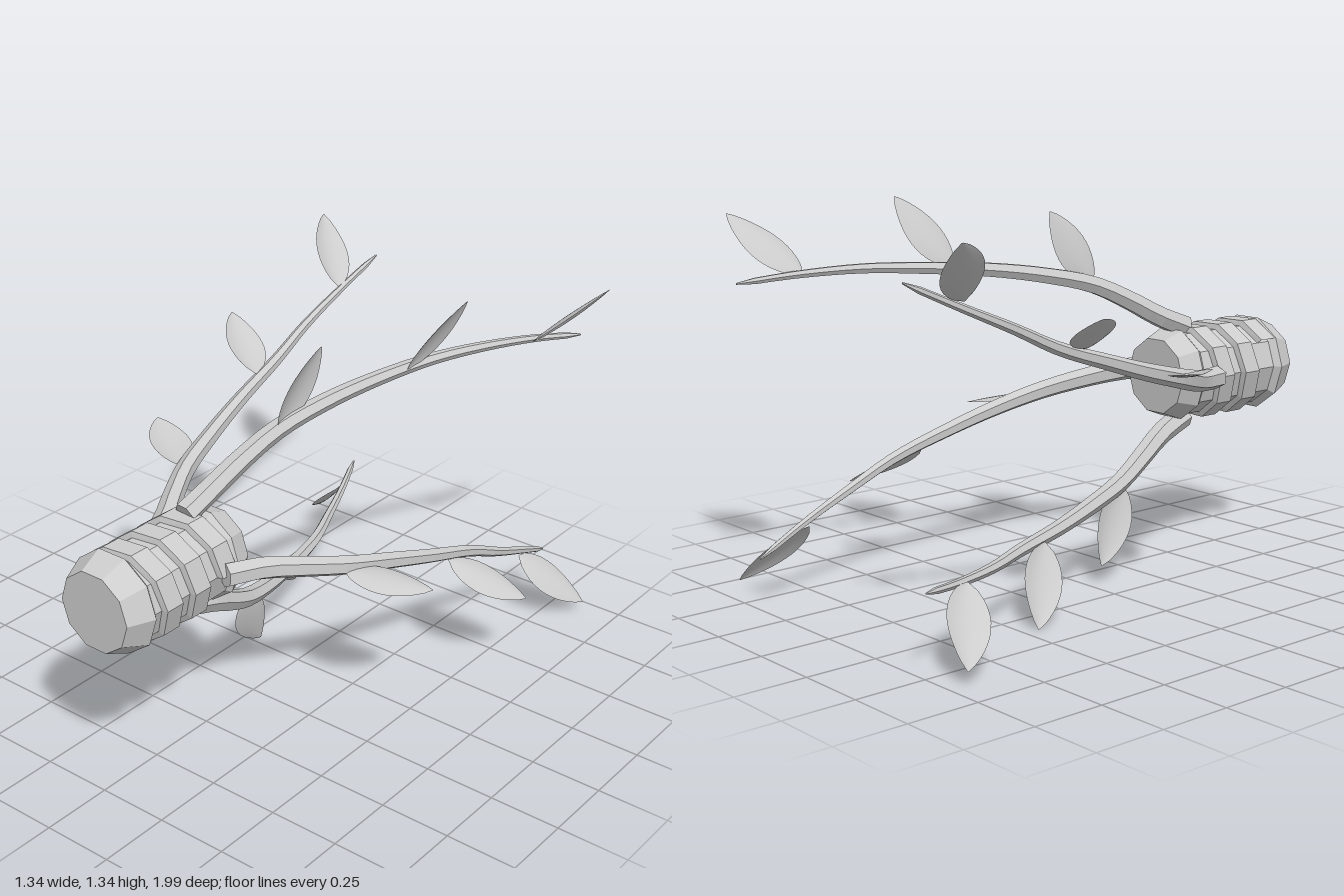
import * as THREE from 'three';

const CENTER_Y = 0.685;
const SIDES = 10;

// Surface from a grid of points, rows x cols; flat gives faceted normals
function gridSurface(rows, flat) {
  const cols = rows[0].length, pos = [], idx = [];
  rows.forEach(r => r.forEach(p => pos.push(p.x, p.y, p.z)));
  for (let i = 0; i < rows.length - 1; i++) {
    for (let j = 0; j < cols - 1; j++) {
      const a = i * cols + j, b = a + 1, c = a + cols, d = c + 1;
      idx.push(a, b, c, b, d, c);
    }
  }
  let geo = new THREE.BufferGeometry();
  geo.setAttribute('position', new THREE.Float32BufferAttribute(pos, 3));
  geo.setIndex(idx);
  if (flat) geo = geo.toNonIndexed();
  geo.computeVertexNormals();
  return geo;
}

// Ten-sided barrel with tapered ends, lying along z
function barrelGeometry() {
  const profile = [[0, 0.43], [0.139, 0.43], [0.17, 0.51], [0.155, 0.53], [0.155, 0.89],
    [0.178, 0.91], [0.139, 1], [0, 1]];
  let geo = new THREE.LatheGeometry(profile.map(p => new THREE.Vector2(p[0], p[1])), SIDES, Math.PI / 2);
  geo.rotateX(Math.PI / 2);
  geo = geo.toNonIndexed();
  geo.computeVertexNormals();
  return geo;
}

// Raised band winding round the barrel
function bandGeometry() {
  const turns = 2.4, pitch = 0.13, rows = [];
  const section = [[0.15, -0.042], [0.176, -0.036], [0.176, 0.036], [0.15, 0.042]];
  for (let i = 0; i <= turns * SIDES; i++) {
    const a = i / SIDES * Math.PI * 2, z = 0.56 + i / SIDES * pitch;
    rows.push(section.map(s => new THREE.Vector3(Math.cos(a) * s[0], Math.sin(a) * s[0], z + s[1])));
  }
  return gridSurface(rows.map(r => r.reverse()), true);
}

// Path of the upper vine, relative to the barrel axis
const path = new THREE.CatmullRomCurve3([
  [0, 0.165, 0.575], [0.01, 0.215, 0.45], [0.035, 0.28, 0.33], [0.07, 0.345, 0.19], [0.12, 0.39, 0],
  [0.18, 0.42, -0.2], [0.25, 0.437, -0.42], [0.33, 0.443, -0.6], [0.415, 0.432, -0.8], [0.5, 0.408, -0.99],
].map(p => new THREE.Vector3(...p)));

// Tapered six-sided stem
function stemGeometry() {
  const rows = [], steps = 28, up = new THREE.Vector3(0, 1, 0);
  for (let i = 0; i <= steps; i++) {
    const t = i / steps, p = path.getPointAt(t), dir = path.getTangentAt(t);
    const side = new THREE.Vector3().crossVectors(dir, up).normalize();
    const out = new THREE.Vector3().crossVectors(side, dir);
    const r = t < 1 ? 0.042 * (1 - t) + 0.01 * t : 0.003;
    const ring = [];
    for (let k = 0; k <= 6; k++) {
      const a = k / 6 * Math.PI * 2;
      ring.push(p.clone().addScaledVector(side, Math.cos(a) * r).addScaledVector(out, Math.sin(a) * r));
    }
    rows.push(ring);
  }
  rows.unshift(rows[0].map(() => path.getPointAt(0)));
  return gridSurface(rows, true);
}

// Pointed, gently cupped leaf between two points, its blade lying along z
function leafGeometry(base, tip) {
  const axis = tip.clone().sub(base);
  const normal = new THREE.Vector3(axis.y, -axis.x, 0).normalize();
  const across = new THREE.Vector3().crossVectors(axis, normal).normalize();
  const rows = [], steps = 12;
  for (let i = 0; i <= steps; i++) {
    const t = i / steps;
    const half = 0.072 * Math.pow(Math.sin(Math.PI * Math.pow(t, 0.85)), 0.8) + 0.002;
    const row = [];
    for (let j = -3; j <= 3; j++) {
      const s = j / 3;
      row.push(base.clone().addScaledVector(axis, t).addScaledVector(across, s * half)
        .addScaledVector(normal, (s * s - 0.5) * half * 0.22));
    }
    rows.push(row);
  }
  return gridSurface(rows, false);
}

export function createModel() {
  const model = new THREE.Group();
  model.name = 'vineLauncher';
  const grey = new THREE.MeshStandardMaterial({ color: 0xcccccc, side: THREE.DoubleSide });
  grey.name = 'light grey';

  const add = (parent, name, geo) => {
    const mesh = new THREE.Mesh(geo, grey);
    mesh.name = name;
    parent.add(mesh);
  };

  const core = new THREE.Group();
  core.name = 'core';
  core.position.y = CENTER_Y;
  model.add(core);
  add(core, 'barrel', barrelGeometry());
  add(core, 'spiralBand', bandGeometry());

  // Four vines, a quarter turn apart, each with three leaves
  const stem = stemGeometry();
  const leaves = [
    [0.08, 0.355, 0.2, 0.135, 0.605, 0.045],
    [0.235, 0.435, -0.3, 0.37, 0.67, -0.445],
    [0.43, 0.43, -0.78, 0.63, 0.625, -0.94],
  ].map(l => leafGeometry(new THREE.Vector3(l[0], l[1], l[2]), new THREE.Vector3(l[3], l[4], l[5])));
  for (let i = 0; i < 4; i++) {
    const vine = new THREE.Group();
    vine.name = 'vine' + (i + 1);
    vine.rotation.z = i * Math.PI / 2;
    add(vine, 'stem', stem);
    leaves.forEach((g, k) => add(vine, 'leaf' + (k + 1), g));
    core.add(vine);
  }
  return model;
}
